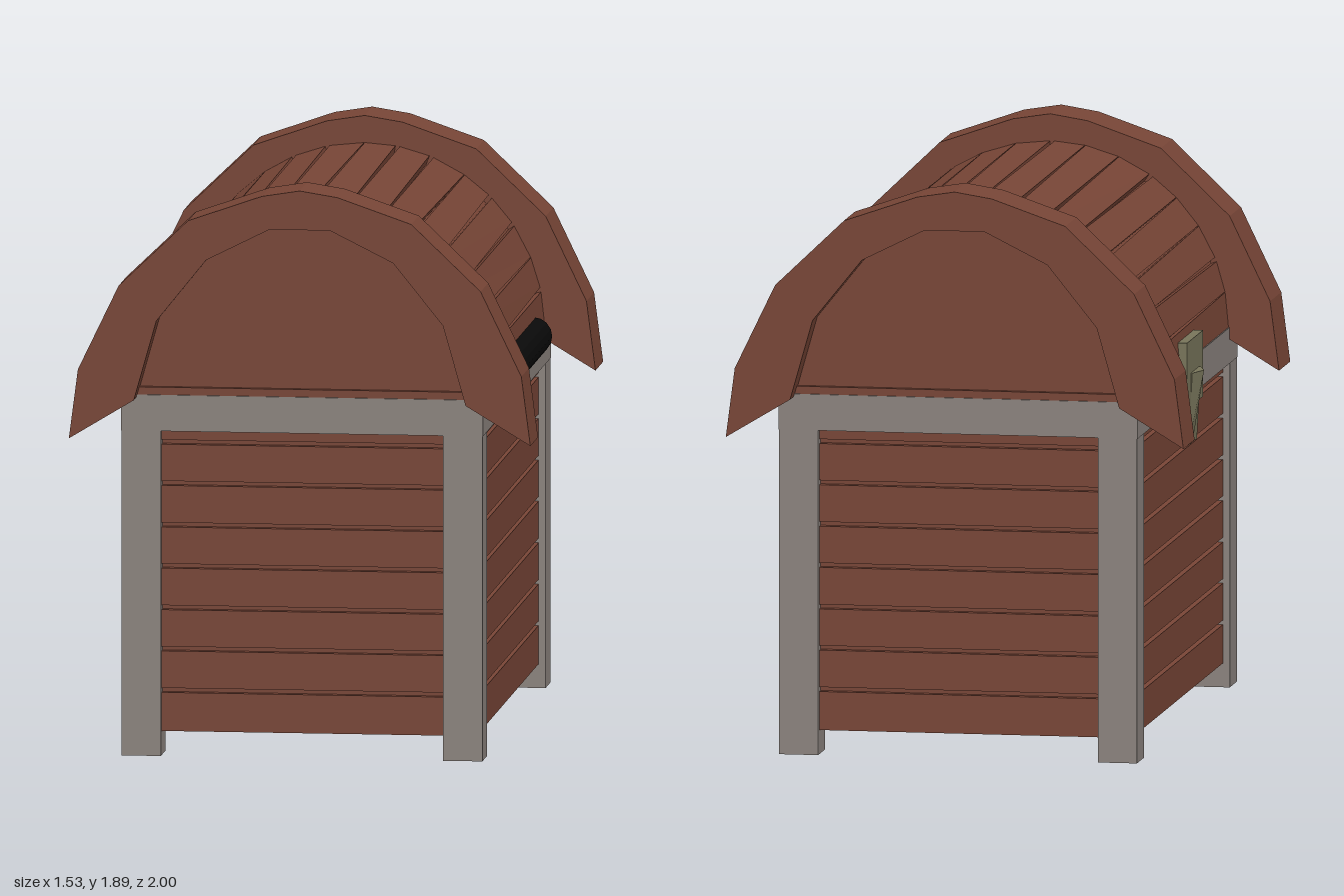
import * as THREE from 'three';

const material = (color, extra = {}) => new THREE.MeshStandardMaterial({ color, flatShading: true, ...extra });
const wood = material(0x774536);
const trim = material(0x8a827d);
const brass = material(0x77745a);
const black = material(0x0a0a0a);

function add(parent, name, geometry, mat) {
  const mesh = new THREE.Mesh(geometry, mat);
  mesh.name = name;
  parent.add(mesh);
  return mesh;
}

// Box given by its lower and upper corners
function block(parent, name, mat, [x0, y0, z0], [x1, y1, z1]) {
  const g = new THREE.BoxGeometry(x1 - x0, y1 - y0, z1 - z0);
  g.translate((x0 + x1) / 2, (y0 + y1) / 2, (z0 + z1) / 2);
  return add(parent, name, g, mat);
}

// Moves every vertex of a geometry by a rule
function reshape(geometry, rule) {
  const p = geometry.attributes.position;
  const v = new THREE.Vector3();
  for (let i = 0; i < p.count; i++) {
    rule(v.fromBufferAttribute(p, i));
    p.setXYZ(i, v.x, v.y, v.z);
  }
  geometry.computeVertexNormals();
  return geometry;
}

export function createModel() {
  const model = new THREE.Group();
  model.name = 'chest';

  // Body: a core with horizontal planks separated by grooves
  const body = new THREE.Group();
  body.name = 'body';
  model.add(body);
  block(body, 'bodyCore', wood, [-0.55, 0.08, -0.885], [0.55, 1.09, 0.885]);
  const grooves = [0.08, 0.215, 0.353, 0.49, 0.628, 0.765, 0.903, 1.04, 1.09];
  for (let i = 0; i < grooves.length - 1; i++) {
    const y0 = grooves[i] + (i ? 0.008 : 0);
    const y1 = grooves[i + 1] - (i < 7 ? 0.007 : 0);
    block(body, 'bodyPlank', wood, [-0.575, y0, -0.91], [0.575, y1, 0.91]);
  }

  // Corner posts and the rim they carry
  for (const sx of [-1, 1]) {
    for (const sz of [-1, 1]) {
      const post = add(model, 'cornerPost', new THREE.BoxGeometry(0.13, 1.08, 0.132), trim);
      post.position.set(sx * 0.533, 0.54, sz * 0.869);
    }
  }
  block(model, 'rim', trim, [-0.6, 1.08, -0.935], [0.6, 1.2, 0.935]);

  // Barrel lid: half-round core under tapering planks
  const lid = new THREE.Group();
  lid.name = 'lid';
  model.add(lid);
  const half = new THREE.Shape();
  half.absarc(0, 1.19, 0.582, 0, Math.PI, false);
  half.closePath();
  const core = new THREE.ExtrudeGeometry(half, { depth: 1.82, bevelEnabled: false, curveSegments: 16 });
  core.translate(0, 0, -0.91);
  add(lid, 'lidCore', core, wood);
  const count = 16;
  const step = Math.PI / count;
  for (let i = 0; i < count; i++) {
    const wideEnd = i % 3 === 1 ? 1 : -1;
    const plank = reshape(new THREE.BoxGeometry(1, 1, 1), (v) => {
      const gap = v.z * wideEnd > 0 ? 0.026 : 0.002;
      const angle = Math.PI - (i + 0.5 + v.x) * step + (v.x > 0 ? gap : 0);
      const radius = v.y > 0 ? 0.605 : 0.56;
      v.set(Math.cos(angle) * radius * 0.985, 1.2 + Math.sin(angle) * radius, v.z * 1.8);
    });
    add(lid, 'lidPlank', plank, wood);
  }
  // Low ledge board below each end panel
  for (const s of [-1, 1]) {
    const ledge = add(lid, 'endLedge', new THREE.BoxGeometry(1.1, 0.03, 0.03), wood);
    ledge.position.set(0, 1.21, s * 0.915);
  }

  // Faceted arches overhanging both ends of the lid
  const outer = [[0.765, 1.06], [0.735, 1.29], [0.6, 1.57], [0.37, 1.79], [0.125, 1.875], [0, 1.895]];
  const inner = [[0.1, 1.765], [0.31, 1.66], [0.475, 1.455], [0.55, 1.19]];
  const mirror = (points) => points.map(([x, y]) => [-x, y]).reverse();
  const outline = [...outer, ...mirror(outer.slice(0, -1)), ...mirror(inner), ...inner];
  const archShape = new THREE.Shape(outline.map(([x, y]) => new THREE.Vector2(x, y)));
  for (const z0 of [-1, 0.79]) {
    const arch = new THREE.ExtrudeGeometry(archShape, { depth: 0.21, bevelEnabled: false });
    arch.translate(0, 0, z0);
    add(model, z0 > 0 ? 'frontArch' : 'backArch', arch, wood);
  }

  // Long hinge barrel on the left side
  const hinge = new THREE.CylinderGeometry(0.0625, 0.0625, 1.13, 16);
  hinge.rotateX(Math.PI / 2);
  add(model, 'hinge', hinge, black).position.set(0.583, 1.2, -0.025);

  // Latch on the right side: a plate and a ridged, tapering hasp
  const latch = new THREE.Group();
  latch.name = 'latch';
  model.add(latch);
  block(latch, 'latchPlate', brass, [-0.62, 1.06, -0.12], [-0.57, 1.28, 0.18]);
  const hasp = reshape(new THREE.BoxGeometry(1, 1, 1, 1, 1, 2), (v) => {
    const low = v.y < 0;
    const ridge = Math.abs(v.z) < 0.1;
    const front = low ? -0.612 : ridge ? -0.65 : -0.625;
    v.set(v.x < 0 ? front : -0.59, low ? 0.93 : 1.17, 0.03 + v.z * 0.16);
  });
  add(latch, 'latchHasp', hasp, brass);

  return model;
}
